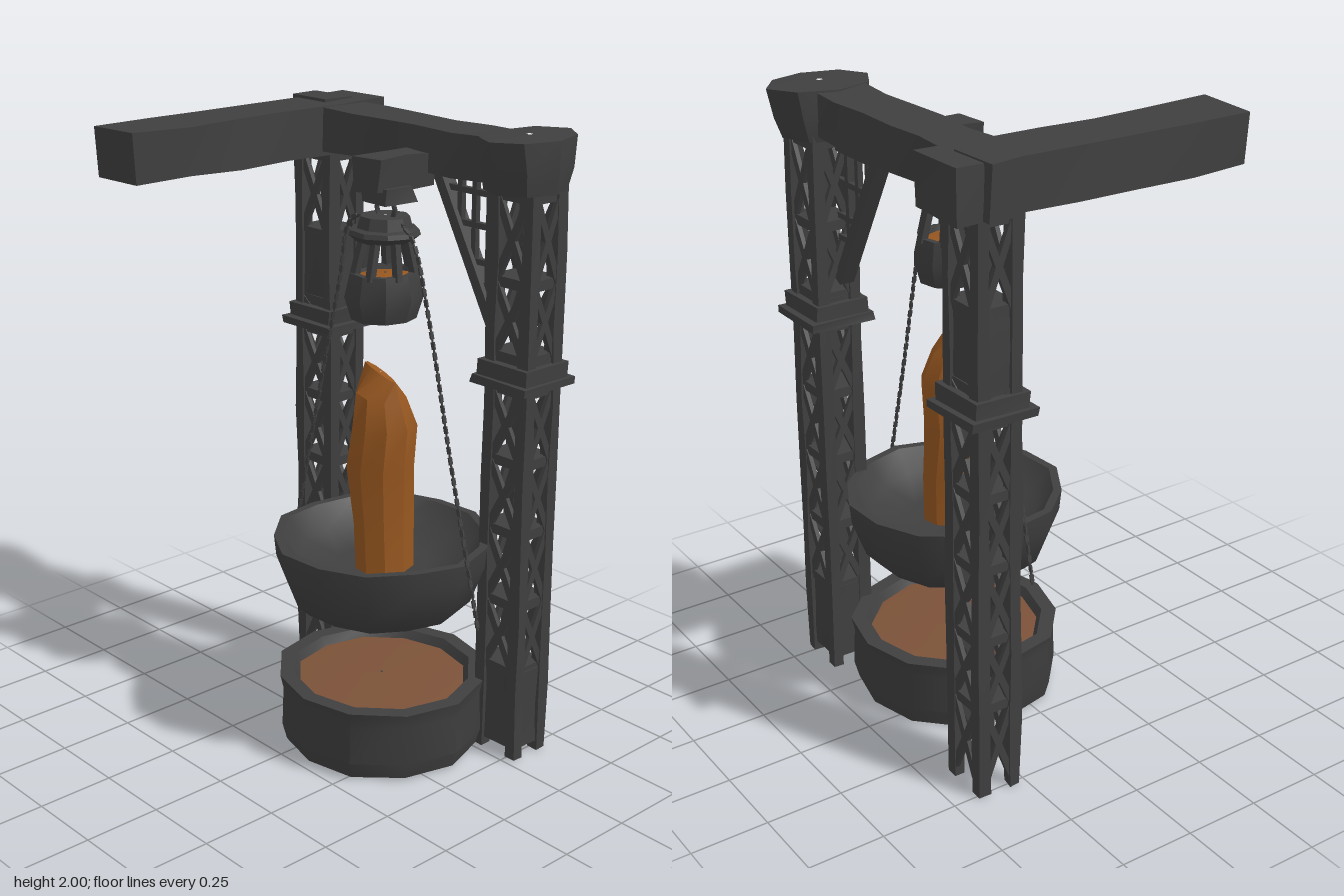
import * as THREE from 'three';
import { toCreasedNormals } from 'three/addons/utils/BufferGeometryUtils.js';

const mat = (name, color) => {
  const m = new THREE.MeshStandardMaterial({ color });
  m.name = name;
  return m;
};

// repeatable wobble in -1..1 for hand-hewn surfaces
const noise = (a, b, c) => {
  const s = Math.sin(a * 127.1 + b * 311.7 + c * 74.7) * 43758.5453;
  return (s - Math.floor(s)) * 2 - 1;
};

export function createModel() {
  const iron = mat('dark iron', 0x3f3f3f);
  const glow = mat('molten orange', 0x975720);
  const slag = mat('cooling brown', 0x7c5239);
  const root = new THREE.Group();

  const add = (parent, name, geo, material = iron) => {
    const mesh = new THREE.Mesh(geo, material);
    mesh.name = name;
    parent.add(mesh);
    return mesh;
  };

  const group = (name) => {
    const g = new THREE.Group();
    g.name = name;
    root.add(g);
    return g;
  };

  // box given by its limits, optionally dented
  const block = (parent, name, x0, x1, y0, y1, z0, z1, dent = 0, segs = [1, 1, 1]) => {
    let g = new THREE.BoxGeometry(x1 - x0, y1 - y0, z1 - z0, ...segs);
    g.translate((x0 + x1) / 2, (y0 + y1) / 2, (z0 + z1) / 2);
    if (dent) {
      const p = g.attributes.position;
      for (let i = 0; i < p.count; i++) {
        const v = [p.getX(i), p.getY(i), p.getZ(i)].map((n) => Math.round(n * 1000) / 1000);
        p.setXYZ(i, v[0] + dent * noise(...v), v[1] + dent * 0.5 * noise(v[1], v[2], v[0]),
          v[2] + dent * noise(v[2], v[0], v[1]));
      }
      g = toCreasedNormals(g, 0.6);
    }
    return add(parent, name, g);
  };

  // square bar from point a to point b
  const bar = (parent, name, a, b, w = 0.022, d = w) => {
    const from = new THREE.Vector3(...a), to = new THREE.Vector3(...b);
    const mesh = add(parent, name, new THREE.BoxGeometry(w, from.distanceTo(to), d));
    mesh.position.copy(from).add(to).multiplyScalar(0.5);
    mesh.quaternion.setFromUnitVectors(new THREE.Vector3(0, 1, 0), to.sub(from).normalize());
    return mesh;
  };

  // skin over rings [y, rx, rz, cx, cz, tilt], listed up the outside and down the inside
  const loft = (rings, n, wobble = 0, crease = 0.6) => {
    const pos = [], index = [];
    rings.forEach(([y, rx, rz = rx, cx = 0.1, cz = -0.1, tilt = 0]) => {
      for (let k = 0; k < n; k++) {
        const a = (k / n) * Math.PI * 2;
        const w = 1 + wobble * noise(k, n, 3);
        pos.push(cx + Math.cos(a) * rx * w, y + tilt * Math.cos(a) + wobble * 0.25 * rx * noise(k, y, 1),
          cz + Math.sin(a) * rz * w);
      }
    });
    for (let r = 0; r < rings.length - 1; r++) {
      for (let k = 0; k < n; k++) {
        const p = r * n + k, q = r * n + (k + 1) % n;
        index.push(p, p + n, q, q, p + n, q + n);
      }
    }
    const g = new THREE.BufferGeometry();
    g.setAttribute('position', new THREE.Float32BufferAttribute(pos, 3));
    g.setIndex(index);
    g.computeVertexNormals();
    return toCreasedNormals(g, crease);
  };

  // lattice posts
  const levels = [0.03, 0.3, 0.53, 0.77, 1.0, 1.23, 1.33, 1.56, 1.82];
  const zBack = -0.42, zFront = -0.27, leg = 0.038;
  const post = (name, x0, x1, solidCells) => {
    const g = group(name);
    for (const x of [x0, x1 - leg])
      for (const z of [zBack, zFront - leg])
        block(g, 'cornerLeg', x, x + leg, 0, 1.88, z, z + leg, 0.004, [1, 8, 1]);
    const xa = x0 + 0.025, xb = x1 - 0.025, za = zBack + 0.025, zb = zFront - 0.025;
    levels.forEach((y, i) => {
      if (i) block(g, 'crossFrame', x0 + 0.01, x1 - 0.01, y - 0.016, y + 0.016, zBack + 0.008, zFront - 0.008);
      const top = levels[i + 1];
      if (!top) return;
      if (solidCells.includes(i)) {
        block(g, 'solidPanel', x0 + 0.008, x1 - 0.008, y, top, zBack + 0.01, zFront - 0.01, 0.004, [2, 2, 2]);
        return;
      }
      for (const z of [zBack + 0.012, zFront - 0.012]) {
        bar(g, 'diagonal', [xa, y, z], [xb, top, z], 0.026, 0.014);
        bar(g, 'diagonal', [xb, y, z], [xa, top, z], 0.026, 0.014);
      }
      for (const x of [x0 + 0.012, x1 - 0.012]) {
        bar(g, 'diagonal', [x, y, za], [x, top, zb], 0.014, 0.022);
        bar(g, 'diagonal', [x, y, zb], [x, top, za], 0.014, 0.022);
      }
    });
    // collar halfway up
    block(g, 'collarLip', x0 - 0.025, x1 + 0.025, 1.24, 1.265, zBack - 0.035, zFront + 0.035, 0.004);
    block(g, 'collar', x0 - 0.01, x1 + 0.01, 1.265, 1.315, zBack - 0.015, zFront + 0.015, 0.005);
  };
  post('rightPost', -0.515, -0.34, [6]);
  post('leftPost', 0.36, 0.535, [0, 5]);

  // overhead beams
  const beams = group('overheadBeams');
  block(beams, 'crossBeam', -0.36, 0.38, 1.85, 1.985, -0.405, -0.235, 0.008, [5, 1, 1]);
  block(beams, 'sideBeam', -0.535, -0.335, 1.835, 1.99, -0.5, 0.495, 0.008, [1, 1, 5]);
  block(beams, 'rightEndCap', -0.56, -0.4, 1.84, 1.995, -0.41, -0.29, 0.008);
  const cap = loft([[1.835, 0.01, 0.01, 0.45, -0.33], [1.835, 0.12, 0.13, 0.45, -0.33],
    [1.9, 0.13, 0.15, 0.45, -0.335], [1.99, 0.125, 0.17, 0.45, -0.335], [1.995, 0.01, 0.01, 0.45, -0.335]], 8, 0.06);
  add(beams, 'leftEndCap', cap);

  // corner brace with a small grid
  const brace = group('cornerBrace');
  bar(brace, 'braceStrut', [0.37, 1.38, -0.32], [0.11, 1.85, -0.32], 0.035, 0.05);
  for (const [x, y] of [[0.2, 1.69], [0.26, 1.59], [0.32, 1.48]])
    bar(brace, 'gridUpright', [x, y, -0.32], [x, 1.86, -0.32], 0.018);
  for (const [y, x] of [[1.8, 0.15], [1.7, 0.2], [1.59, 0.26], [1.52, 0.29]])
    bar(brace, 'gridRail', [x, y, -0.32], [0.38, y, -0.32], 0.018);

  // hoist block under the beam
  const hoist = group('hoist');
  block(hoist, 'hoistArm', 0.04, 0.14, 1.81, 1.91, -0.26, -0.03, 0.01, [1, 1, 2]);
  block(hoist, 'hoistFoot', 0.05, 0.15, 1.775, 1.82, -0.17, -0.05, 0.008);
  const hook = add(hoist, 'hookRing', new THREE.TorusGeometry(0.04, 0.008, 5, 8));
  hook.position.set(0.1, 1.755, -0.1);

  // hanging crucible
  const crucible = group('crucible');
  add(crucible, 'crucibleCup', loft([[1.42, 0.005], [1.42, 0.095, 0.105], [1.49, 0.118, 0.125],
    [1.565, 0.1, 0.11], [1.565, 0.08, 0.09], [1.53, 0.07, 0.08], [1.53, 0.005]], 9, 0.04));
  add(crucible, 'crucibleMelt', loft([[1.55, 0.082, 0.09], [1.56, 0.005]], 9), glow);
  for (let i = 0; i < 7; i++) {
    const a = (i / 7) * Math.PI * 2 + 0.3;
    bar(crucible, 'crucibleStrut', [0.1 + Math.cos(a) * 0.09, 1.55, -0.1 + Math.sin(a) * 0.1],
      [0.1 + Math.cos(a) * 0.065, 1.68, -0.1 + Math.sin(a) * 0.065], 0.022);
  }
  add(crucible, 'crucibleCap', loft([[1.655, 0.005], [1.66, 0.085], [1.68, 0.11], [1.695, 0.105],
    [1.7, 0.085], [1.735, 0.075], [1.735, 0.005]], 9, 0.05));

  // chains on both sides
  const chain = (name, points) => {
    const g = group(name);
    const path = new THREE.CatmullRomCurve3(points.map(([x, y]) => new THREE.Vector3(x, y, -0.095)));
    add(g, 'chainCore', new THREE.TubeGeometry(path, 24, 0.0045, 4));
    const links = 40;
    for (let i = 0; i < links; i++) {
      const a = path.getPointAt(i / links), b = path.getPointAt((i + 0.7) / links);
      const link = bar(g, 'chainLink', a.toArray(), b.toArray(), 0.013, 0.006);
      link.rotateY(i % 2 ? Math.PI / 2 : 0);
    }
  };
  chain('rightChain', [[0.04, 1.725], [-0.05, 1.7], [-0.1, 1.5], [-0.22, 1.02], [-0.33, 0.55]]);
  chain('leftChain', [[0.16, 1.725], [0.22, 1.68], [0.29, 1.47], [0.4, 1.02], [0.53, 0.52]]);

  // pouring column of hot metal, ending in a ridge
  add(root, 'moltenColumn', loft([[0.6, 0.085, 0.1, 0.115, -0.1], [0.76, 0.085, 0.105, 0.11, -0.1],
    [0.94, 0.106, 0.108, 0.095, -0.095], [1.08, 0.098, 0.105, 0.115, -0.095],
    [1.18, 0.083, 0.075, 0.105, -0.085, -0.01], [1.25, 0.068, 0.012, 0.105, -0.08, -0.02],
    [1.25, 0.002, 0.002, 0.105, -0.08]], 9, 0.05, 0.5), glow);

  // upper bowl
  add(root, 'bowl', loft([[0.48, 0.005], [0.48, 0.26], [0.52, 0.3], [0.64, 0.345], [0.71, 0.352],
    [0.71, 0.325], [0.64, 0.27], [0.605, 0.15], [0.6, 0.005]], 14, 0.025, 0.7));

  // round ground basin with its cooled pool
  const basin = group('basin');
  add(basin, 'basinWall', loft([[0.005, 0.005], [0.005, 0.325], [0.06, 0.34], [0.19, 0.335], [0.235, 0.345],
    [0.235, 0.295], [0.19, 0.27], [0.18, 0.005]], 12, 0.025));
  add(basin, 'basinPool', loft([[0.205, 0.285], [0.212, 0.2], [0.215, 0.005]], 12, 0.02), slag);

  return root;
}
